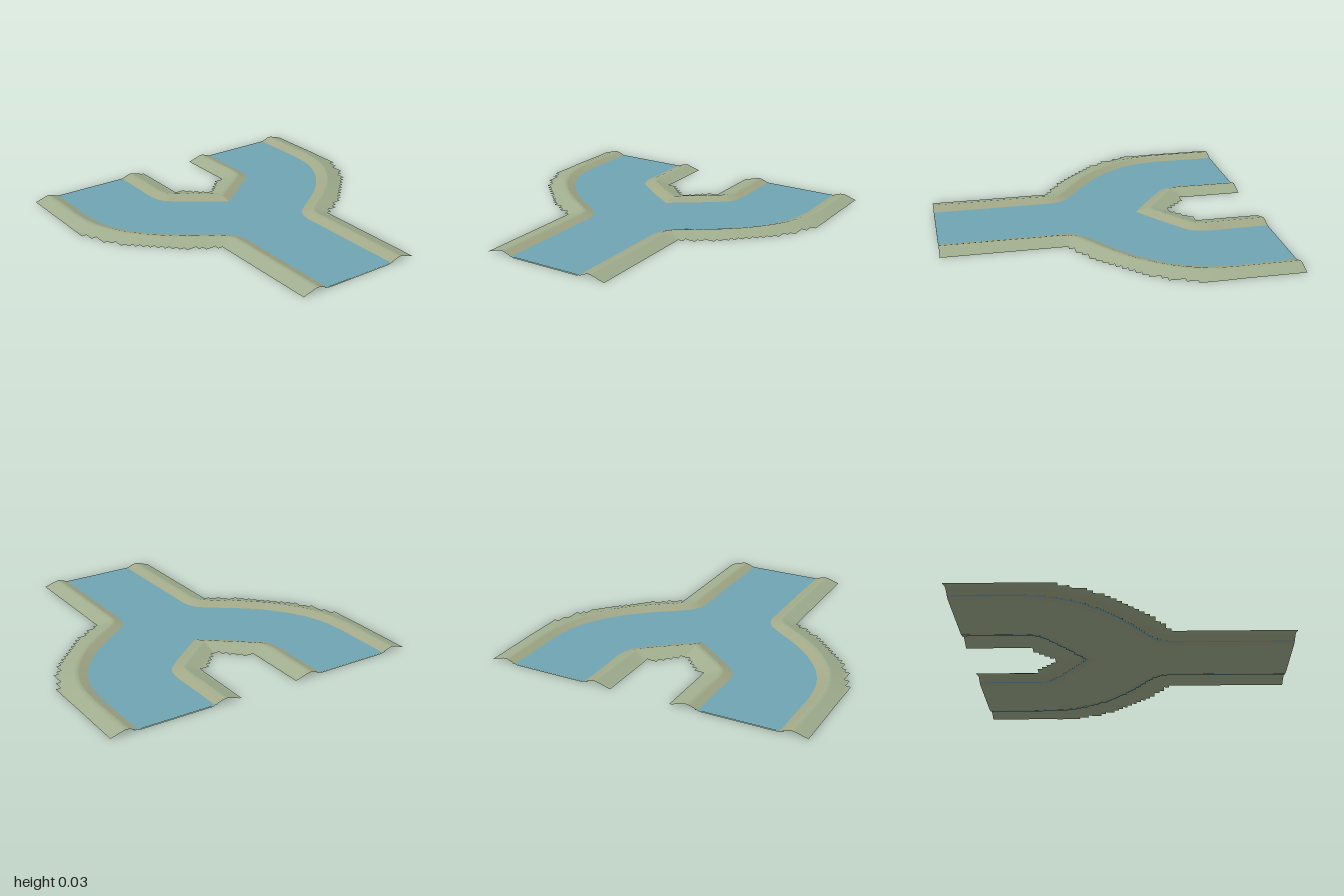
import * as THREE from 'three';

const COARSE = 2 / 64;   // size of the stepped outline squares
const FINE = COARSE / 2; // size of the height squares
const WATER_Y = 0.006;

// Right-hand shorelines as [x, z]; the left half is mirrored.
const curve = (pts) => new THREE.CatmullRomCurve3(
  pts.map(([x, z]) => new THREE.Vector3(x, 0, z))).getPoints(60);
const outerShore = curve([[0.84, -1.2], [0.84, -0.8], [0.84, -0.6], [0.82, -0.45], [0.76, -0.3],
  [0.64, -0.14], [0.5, -0.015], [0.36, 0.085], [0.275, 0.155], [0.243, 0.23], [0.24, 0.4], [0.24, 1.2]]);
const innerShore = curve([[0.36, -1.2], [0.36, -0.8], [0.36, -0.6], [0.335, -0.52], [0.26, -0.45],
  [0.13, -0.35], [0, -0.255]]);

// Distance to a shoreline, and whether the point lies on its +x side.
function measure(line, x, z) {
  let best = Infinity, beyond = false;
  for (let i = 0; i + 1 < line.length; i++) {
    const a = line[i], b = line[i + 1];
    const dx = b.x - a.x, dz = b.z - a.z;
    const t = THREE.MathUtils.clamp(((x - a.x) * dx + (z - a.z) * dz) / (dx * dx + dz * dz), 0, 1);
    best = Math.min(best, Math.hypot(x - a.x - t * dx, z - a.z - t * dz));
    if (z >= a.z && z < b.z) beyond = x > a.x + dx * (z - a.z) / dz;
  }
  return { best, beyond };
}

// Signed distance to the shore: negative over water, positive on land.
function shoreDistance(px, z) {
  const x = Math.abs(px);
  const outer = measure(outerShore, x, z), inner = measure(innerShore, x, z);
  const wet = !outer.beyond && (z > -0.255 || inner.beyond);
  return Math.min(outer.best, inner.best) * (wet ? -1 : 1);
}

// Cross-section of the bank: [distance from shore, height].
const PROFILE = [[-0.016, 0], [0, WATER_Y], [0.055, 0.026], [0.075, 0.027], [0.165, 0]];
function bankHeight(s) {
  for (let i = 0; i + 1 < PROFILE.length; i++) {
    const [s0, h0] = PROFILE[i], [s1, h1] = PROFILE[i + 1];
    if (s >= s0 && s <= s1) return h0 + (h1 - h0) * (s - s0) / (s1 - s0);
  }
  return 0;
}

function surface(name, positions, material) {
  const geometry = new THREE.BufferGeometry();
  geometry.setAttribute('position', new THREE.Float32BufferAttribute(positions, 3));
  geometry.computeVertexNormals();
  const mesh = new THREE.Mesh(geometry, material);
  mesh.name = name;
  return mesh;
}

export function createModel() {
  const material = (name, color) => {
    const m = new THREE.MeshStandardMaterial({ color, side: THREE.DoubleSide });
    m.name = name;
    return m;
  };
  const grass = material('grass green', 0xa0ae8e);
  const sand = material('sandy green', 0xa2a887);
  const blue = material('water blue', 0x70a4b2);

  // Shore distance at every grid corner
  const n = 128, dist = [];
  for (let j = 0; j <= n; j++) {
    dist.push([]);
    for (let i = 0; i <= n; i++) dist[j].push(shoreDistance(-1 + i * FINE, -1 + j * FINE));
  }

  const grassPos = [], sandPos = [], waterPos = [];
  for (let j = 0; j < n; j++) {
    for (let i = 0; i < n; i++) {
      // Keep whole coarse squares, giving the stepped outer edge
      const cj = j - j % 2 + 1, ci = i - i % 2 + 1;
      if (dist[cj][ci] > 0.175) continue;
      let corners = [[i, j], [i, j + 1], [i + 1, j + 1], [i + 1, j]];
      const wet = corners.some(([a, b]) => dist[b][a] < 0.006);
      // Mirror the diagonal so both halves match
      if (i >= n / 2) corners = [...corners.slice(1), corners[0]];
      for (const tri of [[0, 1, 2], [0, 2, 3]]) {
        const pts = tri.map((k) => corners[k]);
        const s = pts.reduce((sum, [a, b]) => sum + dist[b][a] / 3, 0);
        const bank = s > -0.03 && s < 0.055 ? sandPos : grassPos;
        for (const [a, b] of pts) {
          bank.push(-1 + a * FINE, bankHeight(dist[b][a]), -1 + b * FINE);
          if (wet) waterPos.push(-1 + a * FINE, WATER_Y, -1 + b * FINE);
        }
      }
    }
  }

  const group = new THREE.Group();
  group.name = 'riverFork';
  group.add(
    surface('grassBankAndBed', grassPos, grass),
    surface('innerBank', sandPos, sand),
    surface('water', waterPos, blue));
  return group;
}
